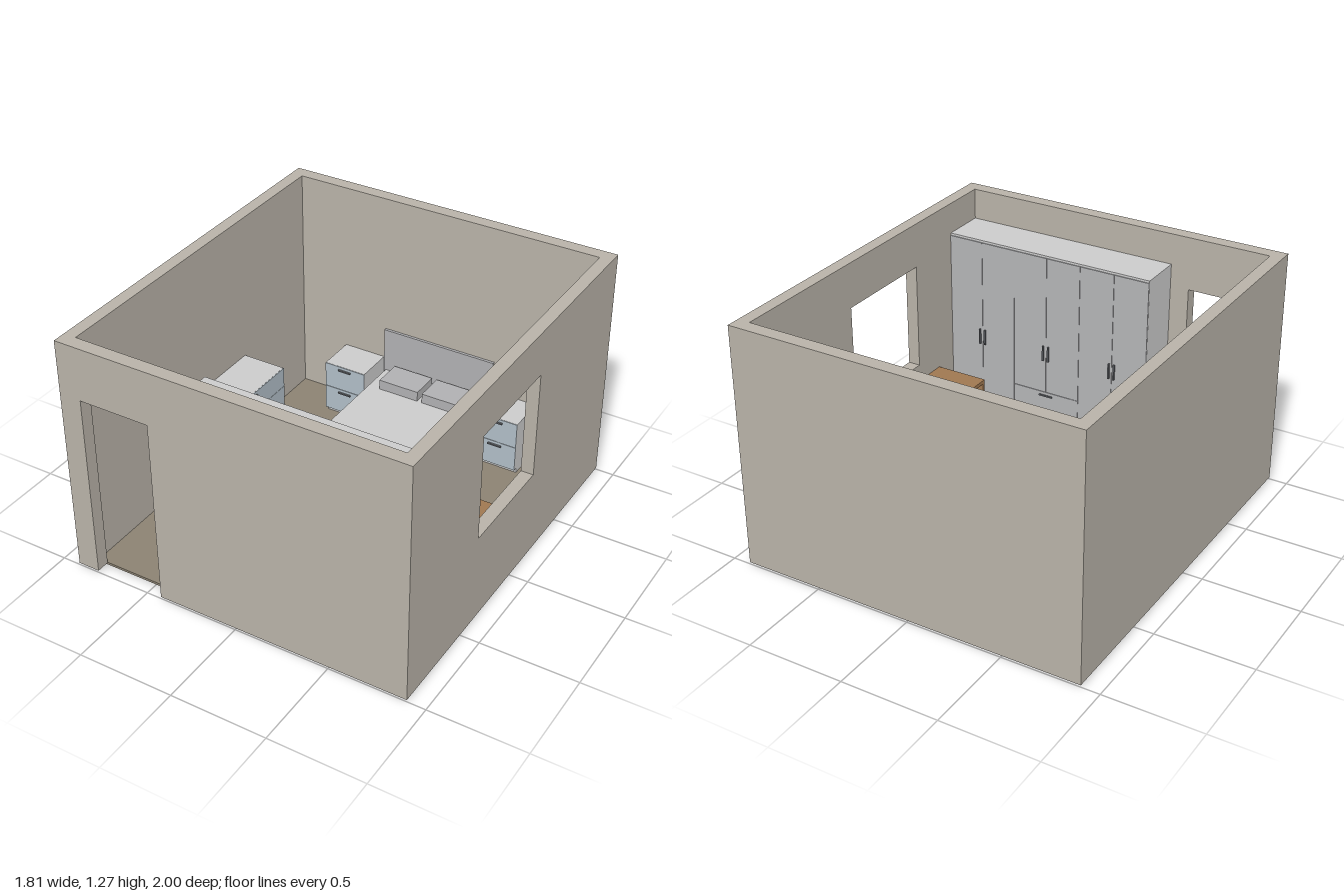
import * as THREE from 'three';

const mat = (color) => new THREE.MeshStandardMaterial({ color });
const M = {
  white: mat(0xcccccc), wall: mat(0xb8b2a8), floor: mat(0x8b8272), wood: mat(0x9f7750),
  blue: mat(0xb0bdc6), throwBlue: mat(0x626e80), pillow: mat(0xb0b0b2),
  door: mat(0xb3b4b6), frame: mat(0x85878c), handle: mat(0x66696e),
};

// Box given by its min and max on each axis
function box(parent, name, m, [x0, x1], [y0, y1], [z0, z1]) {
  const mesh = new THREE.Mesh(new THREE.BoxGeometry(x1 - x0, y1 - y0, z1 - z0), m);
  mesh.position.set((x0 + x1) / 2, (y0 + y1) / 2, (z0 + z1) / 2);
  mesh.name = name;
  parent.add(mesh);
  return mesh;
}

function group(parent, name) {
  const g = new THREE.Group();
  g.name = name;
  parent.add(g);
  return g;
}

const polygon = (C, pts) => new C(pts.map(([x, y]) => new THREE.Vector2(x, y)));

const X = 0.905, XI = 0.84, Z = 1, ZI = 0.93, BASE = 0.01, TOP = 1.27, FLOOR = 0.013;

function buildRoom(root) {
  const room = group(root, 'room');
  box(room, 'floor', M.floor, [-XI, XI], [0, FLOOR], [-ZI, ZI]);
  box(room, 'backWall', M.wall, [-X, X], [BASE, TOP], [-Z, -ZI]);
  box(room, 'rightWall', M.wall, [-X, -XI], [BASE, TOP], [-ZI, ZI]);

  // Front wall with a doorway open at the bottom
  const front = polygon(THREE.Shape, [[-X, BASE], [-0.79, BASE], [-0.79, 0.99], [-0.42, 0.99],
    [-0.42, BASE], [X, BASE], [X, TOP], [-X, TOP]]);
  const frontWall = new THREE.Mesh(
    new THREE.ExtrudeGeometry(front, { depth: Z - ZI, bevelEnabled: false }), M.wall);
  frontWall.position.z = ZI;
  frontWall.name = 'frontWall';
  room.add(frontWall);

  // Left wall with a square window; shape x runs along -z
  const side = polygon(THREE.Shape, [[-ZI, BASE], [ZI, BASE], [ZI, TOP], [-ZI, TOP]]);
  side.holes.push(polygon(THREE.Path, [[-0.37, 0.477], [-0.37, 1.037], [0.188, 1.037], [0.188, 0.477]]));
  const leftWall = new THREE.Mesh(
    new THREE.ExtrudeGeometry(side, { depth: X - XI, bevelEnabled: false }), M.wall);
  leftWall.rotation.y = Math.PI / 2;
  leftWall.position.x = XI;
  leftWall.name = 'leftWall';
  room.add(leftWall);
}

function buildBed(root) {
  const bed = group(root, 'bed');
  box(bed, 'headboard', M.pillow, [-0.325, 0.32], [FLOOR, 0.505], [-ZI, -0.915]);
  box(bed, 'bedFrame', M.frame, [-0.32, 0.315], [0.03, 0.15], [-0.915, -0.048]);
  box(bed, 'mattress', M.white, [-0.312, 0.307], [0.15, 0.26], [-0.912, -0.056]);
  // Folded throw: top strip and two draped sides
  const z = [-0.3, -0.09];
  box(bed, 'throwTop', M.throwBlue, [-0.318, 0.313], [0.26, 0.266], z);
  box(bed, 'throwSide', M.throwBlue, [-0.318, -0.312], [0.152, 0.26], z);
  box(bed, 'throwSide', M.throwBlue, [0.307, 0.313], [0.152, 0.26], z);
  for (const x of [-0.245, 0.01]) box(bed, 'pillow', M.pillow, [x, x + 0.228], [0.26, 0.315], [-0.89, -0.73]);
  for (const x of [-0.31, 0.275]) for (const zz of [-0.9, -0.09])
    box(bed, 'bedLeg', M.frame, [x, x + 0.03], [FLOOR, 0.03], [zz, zz + 0.03]);
}

// Drawer cabinet facing +z with its back at z = 0, centred on x
function buildDrawers(root, name, { width, depth, height, count, plinthInset }) {
  const g = group(root, name);
  const w = width / 2, y0 = 0.04, step = (height - y0) / count;
  box(g, 'plinth', M.white, [-w, w], [FLOOR, y0], [0, depth - plinthInset]);
  box(g, 'cabinet', M.white, [-w, w], [y0, height], [0, depth - 0.004]);
  for (let i = 0; i < count; i++) {
    const y = y0 + i * step;
    box(g, 'drawerFront', M.blue, [-w, w], [y + 0.001, y + step - 0.001], [depth - 0.004, depth]);
    box(g, 'drawerHandle', M.handle, [-0.037, 0.037], [y + step - 0.024, y + step - 0.016], [depth, depth + 0.01]);
  }
  return g;
}

function buildWardrobe(root) {
  const g = group(root, 'wardrobe');
  const x0 = -0.32, H = 1.107, zf = 0.694, w = (XI - x0) / 6;
  box(g, 'wardrobePlinth', M.white, [x0, XI], [FLOOR, 0.04], [zf + 0.025, ZI]);
  box(g, 'wardrobeBody', M.white, [x0, XI], [0.04, H], [zf, ZI]);
  for (let i = 0; i < 6; i++) {
    const a = x0 + i * w, low = i === 2 || i === 3;   // middle pair stands over drawers
    box(g, 'wardrobeDoor', M.door, [a + 0.001, a + w - 0.001], [low ? 0.33 : 0.042, H - 0.012], [zf - 0.005, zf]);
    const hx = i % 2 ? a + 0.015 : a + w - 0.015;
    box(g, 'doorHandle', M.handle, [hx - 0.004, hx + 0.004], [0.515, 0.6], [zf - 0.016, zf - 0.005]);
  }
  for (let i = 0; i < 2; i++) {
    const y = 0.042 + i * 0.144;
    box(g, 'wardrobeDrawer', M.door, [x0 + 2 * w + 0.001, x0 + 4 * w - 0.001], [y, y + 0.142], [zf - 0.005, zf]);
    box(g, 'drawerHandle', M.handle, [0.222, 0.298], [y + 0.118, y + 0.126], [zf - 0.012, zf - 0.005]);
  }
}

function buildDesk(root) {
  const g = group(root, 'desk');
  box(g, 'deskTop', M.wood, [0.555, XI], [0.365, 0.385], [0, 0.555]);
  for (const z of [0, 0.537]) box(g, 'deskSide', M.wood, [0.555, XI], [FLOOR, 0.365], [z, z + 0.018]);
}

export function createModel() {
  const root = new THREE.Group();
  root.name = 'bedroom';
  buildRoom(root);
  buildBed(root);
  buildWardrobe(root);
  buildDesk(root);

  // Bedside cabinets against the back wall
  for (const x of [-0.453, 0.449]) {
    const stand = buildDrawers(root, 'nightstand', { width: 0.238, depth: 0.213, height: 0.325, count: 2, plinthInset: 0.025 });
    stand.position.set(x, 0, -ZI);
  }
  // Chest of drawers turned to face +x
  const chest = buildDrawers(root, 'dresser', { width: 0.58, depth: 0.24, height: 0.48, count: 4, plinthInset: 0.025 });
  chest.rotation.y = Math.PI / 2;
  chest.position.set(-XI, 0, -0.065);
  return root;
}
